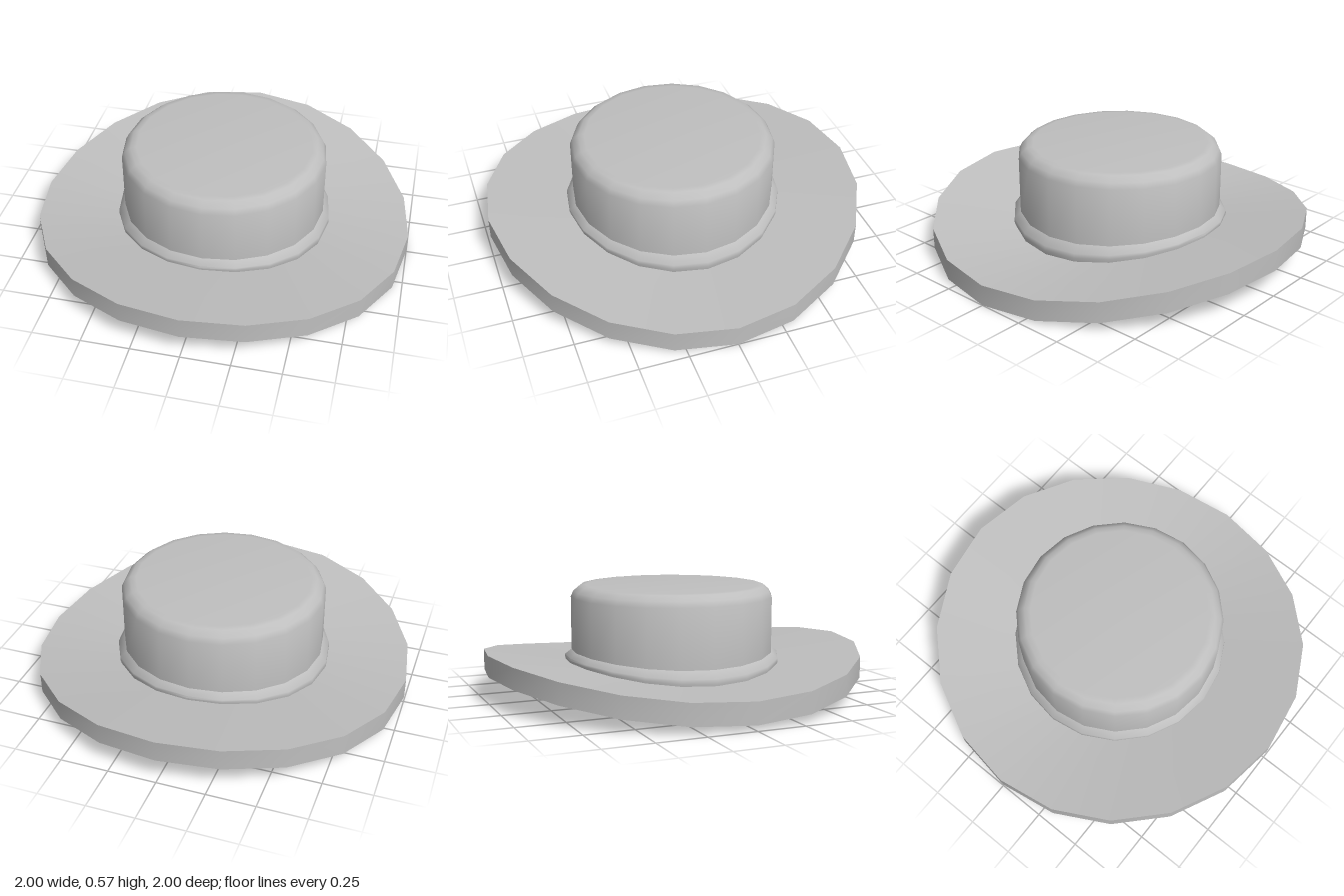
import * as THREE from 'three';
import { toCreasedNormals } from 'three/addons/utils/BufferGeometryUtils.js';

const SIDES = 20;

// Sweeps rings [radius, height, lift, tilt] round the y axis.
// lift raises the front and back of a ring, tilt leans it sideways.
function sweep(rings, crease) {
  const pos = [], index = [];
  for (const [r, base, lift = 0, tilt = 0] of rings) {
    for (let j = 0; j < SIDES; j++) {
      const t = (j / SIDES) * Math.PI * 2;
      const c = Math.cos(t), s = Math.sin(t);
      pos.push(r * c, base + lift * s * s + tilt * c, r * s);
    }
  }
  for (let i = 0; i < rings.length - 1; i++) {
    for (let j = 0; j < SIDES; j++) {
      const k = (j + 1) % SIDES;
      const a = i * SIDES + j, b = i * SIDES + k;
      const c = a + SIDES, d = b + SIDES;
      if (rings[i][0] > 0) index.push(a, c, b);
      if (rings[i + 1][0] > 0) index.push(b, c, d);
    }
  }
  const geo = new THREE.BufferGeometry();
  geo.setAttribute('position', new THREE.Float32BufferAttribute(pos, 3));
  geo.setIndex(index);
  return toCreasedNormals(geo, crease);
}

export function createModel() {
  const group = new THREE.Group();
  group.name = 'hat';
  const felt = new THREE.MeshStandardMaterial({ color: 0xbfbfbf });
  felt.name = 'grey felt';

  const add = (name, rings) => {
    const mesh = new THREE.Mesh(sweep(rings, 1.0), felt);
    mesh.name = name;
    group.add(mesh);
  };

  // Hollow lining, running out into the saddle-shaped brim
  add('brimAndLining', [
    [0, 0.31],
    [0.48, 0.31],
    [0.49, 0.29],
    [0.5, 0.06, 0.05, -0.008],
    [0.51, 0.03, 0.052, -0.008],
    [0.53, 0.014, 0.052, -0.008],
    [1, 0.02, 0.125, -0.014],
    [1, 0.13, 0.125, -0.015],
    [0.55, 0.123, 0.06, -0.006],
  ]);

  // Rounded band where the crown meets the brim
  add('band', [
    [0.565, 0.11, 0.06],
    [0.573, 0.14, 0.06],
    [0.571, 0.165, 0.045],
    [0.536, 0.205, 0.03],
  ]);

  // Straight crown with a softened top edge
  add('crown', [
    [0.537, 0.18, 0.03],
    [0.537, 0.515],
    [0.522, 0.545],
    [0.49, 0.572],
    [0.46, 0.575],
    [0, 0.575],
  ]);

  return group;
}
